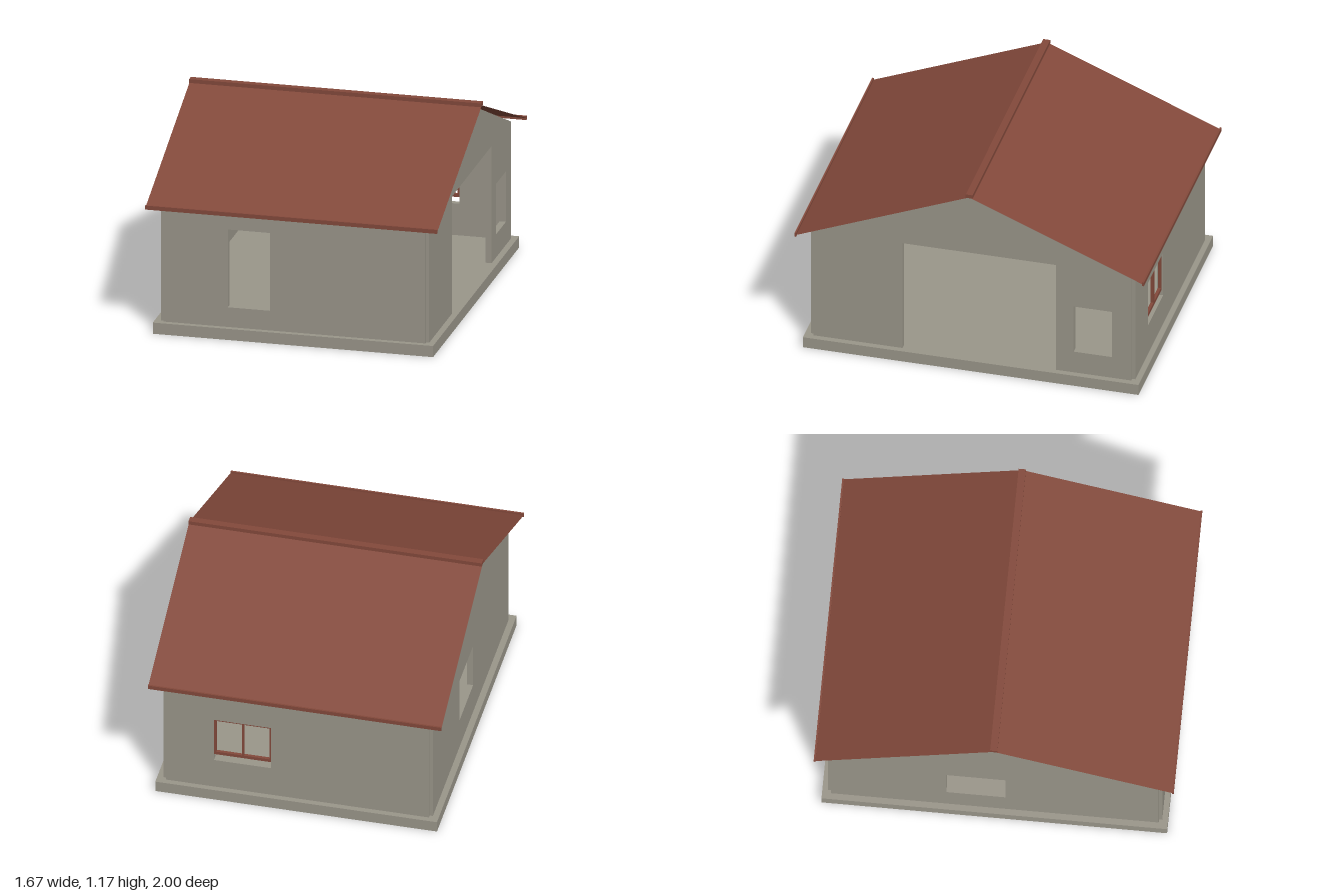
import * as THREE from 'three';

const T = 0.036;                       // wall thickness
const FLOOR = 0.065, EAVE = 0.75;      // wall bottom and top
const WX = 0.747, WZ = 0.91;           // wall centre lines

const concrete = new THREE.MeshStandardMaterial({ color: 0x9a968a });
concrete.name = 'concrete';
const roofRed = new THREE.MeshStandardMaterial({ color: 0x83493b, side: THREE.DoubleSide });
roofRed.name = 'roof red';

export function createModel() {
  const house = new THREE.Group();
  house.name = 'house';

  const add = (name, geometry, material) => {
    const mesh = new THREE.Mesh(geometry, material);
    mesh.name = name;
    house.add(mesh);
    return mesh;
  };

  // box given by its min and max corners
  const box = (name, material, [x0, y0, z0], [x1, y1, z1]) =>
    add(name, new THREE.BoxGeometry(x1 - x0, y1 - y0, z1 - z0), material)
      .position.set((x0 + x1) / 2, (y0 + y1) / 2, (z0 + z1) / 2);

  const rect = (Type, [u0, y0, u1, y1]) => {
    const p = new Type();
    p.moveTo(u0, y0);
    p.lineTo(u1, y0);
    p.lineTo(u1, y1);
    p.lineTo(u0, y1);
    p.closePath();
    return p;
  };

  const slab = (shape) =>
    new THREE.ExtrudeGeometry(shape, { depth: T, bevelEnabled: false }).translate(0, 0, -T / 2);

  // wall with an optional opening; side walls run along z, others along x
  const wall = (name, side, at, u0, u1, hole) => {
    const shape = rect(THREE.Shape, [u0, FLOOR, u1, EAVE]);
    if (hole) shape.holes.push(rect(THREE.Path, hole));
    const g = slab(shape);
    if (side) g.rotateY(-Math.PI / 2).translate(at, 0, 0);
    else g.translate(0, 0, at);
    add(name, g, concrete);
  };

  // base and walls
  box('base', concrete, [-0.8, 0, -0.96], [0.8, FLOOR, 0.96]);
  wall('frontWall', false, WZ, -WX, WX, [-0.38, 0.18, -0.14, 0.635]);
  wall('backWall', false, -WZ, -WX, WX, [0.15, 0.25, 0.475, 0.53]);
  wall('leftOuterWallFront', true, WX, 0.4, WZ);
  wall('leftOuterWallBack', true, WX, -WZ, -0.48, [-0.8, 0.2, -0.58, 0.495]);
  wall('rightOuterWall', true, -WX, -WZ, WZ, [-0.27, 0.25, 0.06, 0.525]);

  // gables
  for (const s of [1, -1]) {
    const tri = new THREE.Shape([
      new THREE.Vector2(-WZ, EAVE), new THREE.Vector2(WZ, EAVE), new THREE.Vector2(0, 1.152),
    ]);
    add('gable', slab(tri).rotateY(-Math.PI / 2).translate(s * WX, 0, 0), concrete);
  }

  // thin roof slopes with eave boards
  const RX = 0.833, run = 1, rise = 0.41;
  for (const s of [1, -1]) {
    const g = new THREE.PlaneGeometry(2 * RX, Math.hypot(run, rise));
    g.rotateX(-Math.PI / 2 + Math.atan2(rise, run)).translate(0, 0.95, 0.5);
    if (s < 0) g.rotateY(Math.PI);
    add('roofSlope', g, roofRed);
    box('eaveBoard', roofRed, [-RX, 0.737, s * 0.995 - 0.005], [RX, 0.76, s * 0.995 + 0.005]);
  }
  box('ridgeCap', roofRed, [-RX, 1.15, -0.02], [RX, 1.172, 0.02]);

  // tie beams under the roof
  for (const x of [0.41, 0.54]) {
    box('tieBeam', roofRed, [x - 0.012, 0.752, -0.87], [x + 0.012, 0.785, 0.87]);
  }

  // back window frame, set a little above the sill
  const z0 = -WZ - 0.009, z1 = -WZ + 0.009;
  for (const x of [0.156, 0.3125, 0.469]) {
    box('windowPost', roofRed, [x - 0.006, 0.285, z0], [x + 0.006, 0.53, z1]);
  }
  for (const y of [0.285, 0.518]) {
    box('windowRail', roofRed, [0.15, y, z0], [0.475, y + 0.018, z1]);
  }

  return house;
}
